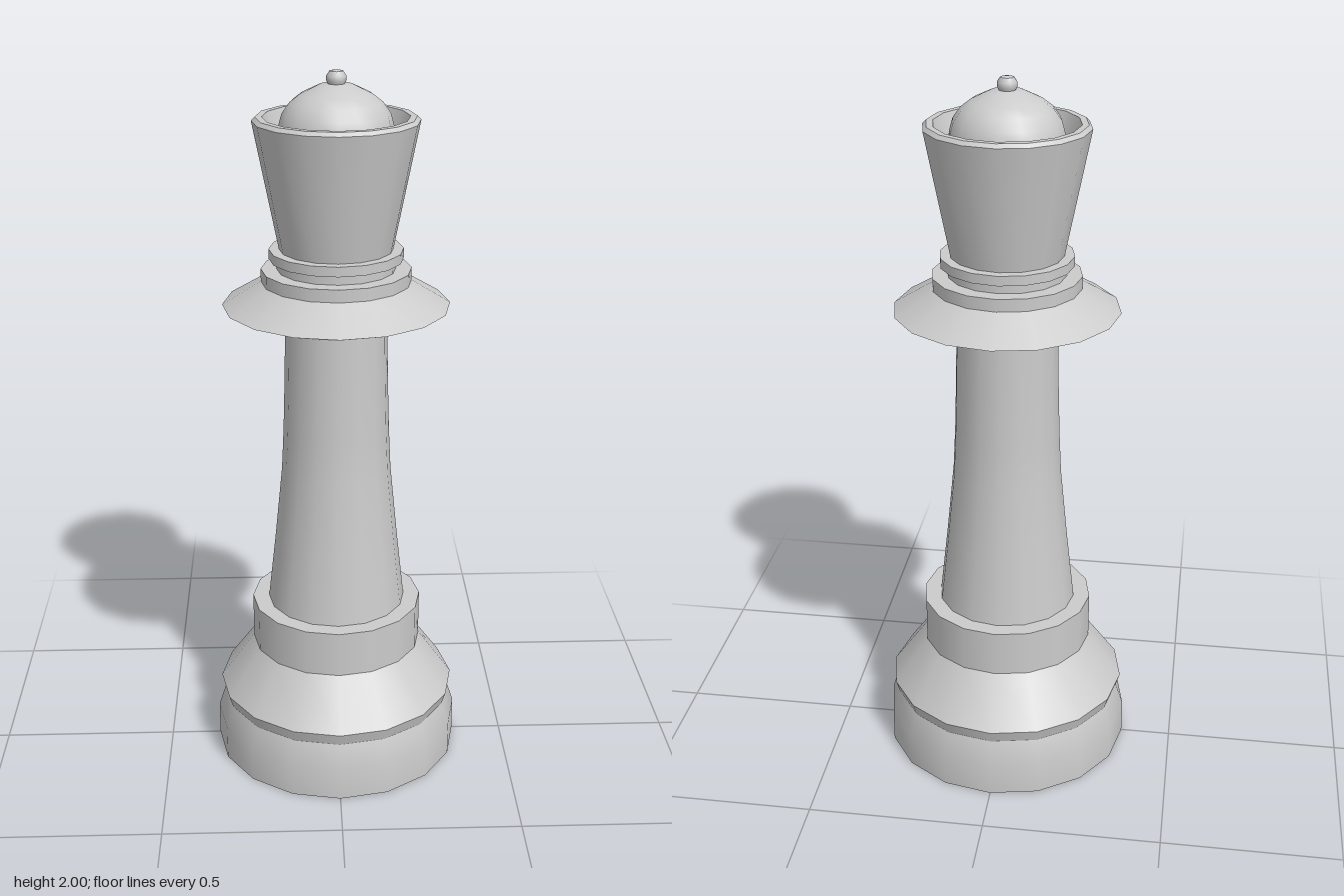
import * as THREE from 'three';
import { mergeGeometries } from 'three/addons/utils/BufferGeometryUtils.js';

const SIDES = 16;
const material = new THREE.MeshStandardMaterial({ color: 0xcccccc });

// Turns a list of [radius, y] runs around y. Each run is smooth; edges between runs stay sharp.
function turned(name, runs) {
  const bands = runs.map((run) =>
    new THREE.LatheGeometry(run.map(([r, y]) => new THREE.Vector2(r, y)), SIDES));
  const mesh = new THREE.Mesh(mergeGeometries(bands), material);
  mesh.name = name;
  return mesh;
}

// Makes every straight segment of a profile its own sharp-edged run.
const sharp = (...points) => points.slice(1).map((p, i) => [points[i], p]);

export function createModel() {
  const model = new THREE.Group();
  model.name = 'chessQueen';

  model.add(
    // Foot with a rounded shoulder and a closed underside
    turned('foot', [
      [[0, 0], [0.355, 0]],
      [[0.355, 0], [0.355, 0.1], [0.333, 0.167]],
    ]),
    // Undercut groove, sloping shoulder and upright collar
    turned('baseCollar', sharp(
      [0.333, 0.167], [0.344, 0.203], [0.245, 0.34], [0.245, 0.473], [0.198, 0.473])),
    // Tapering shaft
    turned('shaft', [
      [[0.198, 0.473], [0.176, 0.67], [0.155, 0.88], [0.149, 1.0], [0.144, 1.16], [0.141, 1.31]],
    ]),
    // Wide sharp flange with a short drum on top
    turned('flange', sharp(
      [0.141, 1.31], [0.312, 1.37], [0.205, 1.435], [0.205, 1.47], [0.162, 1.47])),
    // Narrow neck and thin ring under the crown
    turned('neckRing', sharp(
      [0.162, 1.47], [0.162, 1.498], [0.183, 1.498], [0.183, 1.525], [0.155, 1.525])),
    // Flared crown cup with bevelled rim and sunken floor
    turned('crown', sharp(
      [0.155, 1.525], [0.223, 1.87], [0.213, 1.88], [0.195, 1.88], [0.174, 1.82], [0.153, 1.82])),
    // Dome inside the crown
    turned('dome', [
      [[0.155, 1.82], [0.153, 1.852], [0.143, 1.888], [0.122, 1.917],
        [0.095, 1.938], [0.045, 1.962], [0, 1.967]],
    ]),
    // Small finial knob
    turned('finial', [
      [[0.02, 1.96], [0.026, 1.972], [0.026, 1.985], [0.018, 1.997]],
      [[0.018, 1.997], [0, 2]],
    ]),
  );
  return model;
}
